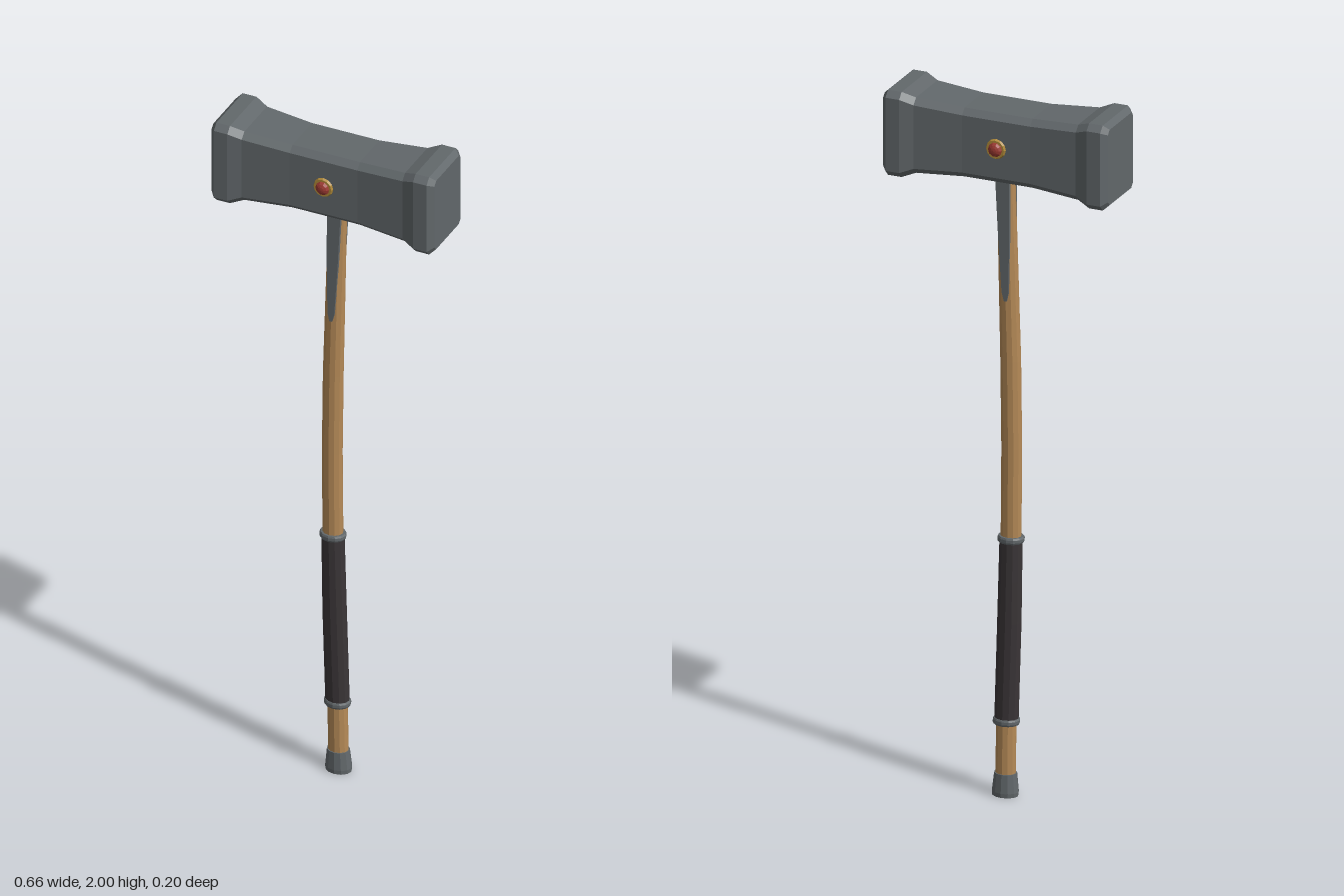
import * as THREE from 'three';

const mat = (name, color) => {
  const m = new THREE.MeshStandardMaterial({ color });
  m.name = name;
  return m;
};

// Turns a geometry into plain faceted faces.
const facet = (geometry) => {
  const g = geometry.index ? geometry.toNonIndexed() : geometry;
  g.computeVertexNormals();
  return g;
};

// Centre line of the gently bowed shaft: height -> x offset.
const BOW = [[0, 0.008], [0.2, 0.005], [0.5, -0.004], [0.74, -0.009], [1.0, -0.011],
  [1.25, -0.008], [1.6, 0.001], [1.78, 0.006], [1.95, 0.008]];
function bow(y) {
  let i = 0;
  while (i < BOW.length - 2 && y > BOW[i + 1][0]) i++;
  const [y0, x0] = BOW[i], [y1, x1] = BOW[i + 1];
  return x0 + (x1 - x0) * (y - y0) / (y1 - y0);
}

// Oval sleeve following the shaft; rings are [y, half width x, half depth z].
function sleeve(rings, sides = 12) {
  const n = rings.length - 1;
  const g = new THREE.CylinderGeometry(1, 1, n, sides, n);
  const p = g.attributes.position;
  for (let i = 0; i < p.count; i++) {
    const [y, rx, rz] = rings[Math.round(p.getY(i) + n / 2)];
    p.setXYZ(i, bow(y) + p.getX(i) * rx, y, p.getZ(i) * rz);
  }
  return facet(g);
}

// Bevelled box section loft along x; sections are [x, half height, half depth, bevel].
function headGeometry(sections) {
  const pos = [], idx = [], n = sections.length;
  for (const [x, h, d, c] of sections) {
    for (const [y, z] of [[h, d - c], [h - c, d], [c - h, d], [-h, d - c],
      [-h, c - d], [c - h, -d], [h - c, -d], [h, c - d]]) pos.push(x, y, z);
  }
  for (let s = 0; s < n - 1; s++) {
    for (let k = 0; k < 8; k++) {
      const a = s * 8 + k, b = s * 8 + (k + 1) % 8;
      idx.push(a, b, b + 8, a, b + 8, a + 8);
    }
  }
  const e = (n - 1) * 8;
  for (let k = 1; k < 7; k++) {
    idx.push(0, k + 1, k);
    idx.push(e, e + k, e + k + 1);
  }
  const g = new THREE.BufferGeometry();
  g.setAttribute('position', new THREE.Float32BufferAttribute(pos, 3));
  g.setIndex(idx);
  return facet(g);
}

export function createModel() {
  const group = new THREE.Group();
  const steel = mat('steel', 0x62686b);
  const wood = mat('wood', 0xb58a57);
  const leather = mat('leather', 0x3a3537);
  const gold = mat('gold', 0xae8838);
  const red = mat('red gem', 0x9c3a32);
  const add = (name, geometry, material, parent = group) => {
    const m = new THREE.Mesh(geometry, material);
    m.name = name;
    parent.add(m);
    return m;
  };

  // Head, waisted in the middle and flared at both striking faces
  const half = [[0.33, 0.108, 0.081, 0.012], [0.315, 0.122, 0.098, 0.017], [0.275, 0.122, 0.098, 0.017],
    [0.238, 0.108, 0.086, 0.017], [0.1, 0.099, 0.077, 0.017]];
  const sections = [...half.map(([x, ...r]) => [-x, ...r]), ...half.slice().reverse()];
  add('hammerHead', headGeometry(sections), steel).position.y = 1.878;

  // Shaft, end cap, grip and its two collars
  add('shaft', sleeve([[0.03, 0.029, 0.024], [0.2, 0.028, 0.024], [0.5, 0.028, 0.024], [0.74, 0.029, 0.024],
    [1.0, 0.029, 0.024], [1.25, 0.029, 0.024], [1.6, 0.027, 0.023], [1.78, 0.026, 0.022], [1.88, 0.026, 0.022]]), wood);
  add('endCap', sleeve([[0, 0.037, 0.029], [0.012, 0.038, 0.03], [0.065, 0.032, 0.027]]), steel);
  add('grip', sleeve([[0.215, 0.034, 0.028], [0.35, 0.034, 0.028], [0.5, 0.034, 0.028],
    [0.62, 0.033, 0.028], [0.738, 0.032, 0.028]]), leather);
  for (const [name, y] of [['lowerCollar', 0.214], ['upperCollar', 0.738]]) {
    add(name, sleeve([[y - 0.009, 0.035, 0.03], [y - 0.004, 0.038, 0.032],
      [y + 0.004, 0.038, 0.032], [y + 0.009, 0.035, 0.03]]), steel);
  }

  // Tapered straps and gem settings, front and back
  const strap = new THREE.Shape();
  const edge = [[1.8, 0.021], [1.6, 0.016], [1.45, 0.010], [1.425, 0.004]];
  edge.forEach(([y, w], i) => (i ? strap.lineTo(bow(y) - w, y) : strap.moveTo(bow(y) - w, y)));
  edge.slice().reverse().forEach(([y, w]) => strap.lineTo(bow(y) + w, y));
  const strapGeo = facet(new THREE.ExtrudeGeometry(strap, { depth: 0.009, bevelEnabled: false }));
  const ringGeo = facet(new THREE.CylinderGeometry(0.026, 0.03, 0.009, 12).rotateX(Math.PI / 2));
  const gemGeo = facet(new THREE.SphereGeometry(0.021, 10, 4, 0, Math.PI * 2, 0, Math.PI / 2)
    .scale(1, 0.7, 1).rotateX(Math.PI / 2));
  for (const [side, s] of [['front', 1], ['back', -1]]) {
    add(side + 'Strap', strapGeo, steel).position.z = s > 0 ? 0.017 : -0.026;
    const setting = new THREE.Group();
    setting.name = side + 'GemSetting';
    add(side + 'GemRing', ringGeo, gold, setting).position.z = 0.079;
    add(side + 'Gem', gemGeo, red, setting).position.z = 0.081;
    setting.position.y = 1.88;
    setting.rotation.y = s > 0 ? 0 : Math.PI;
    group.add(setting);
  }
  return group;
}
